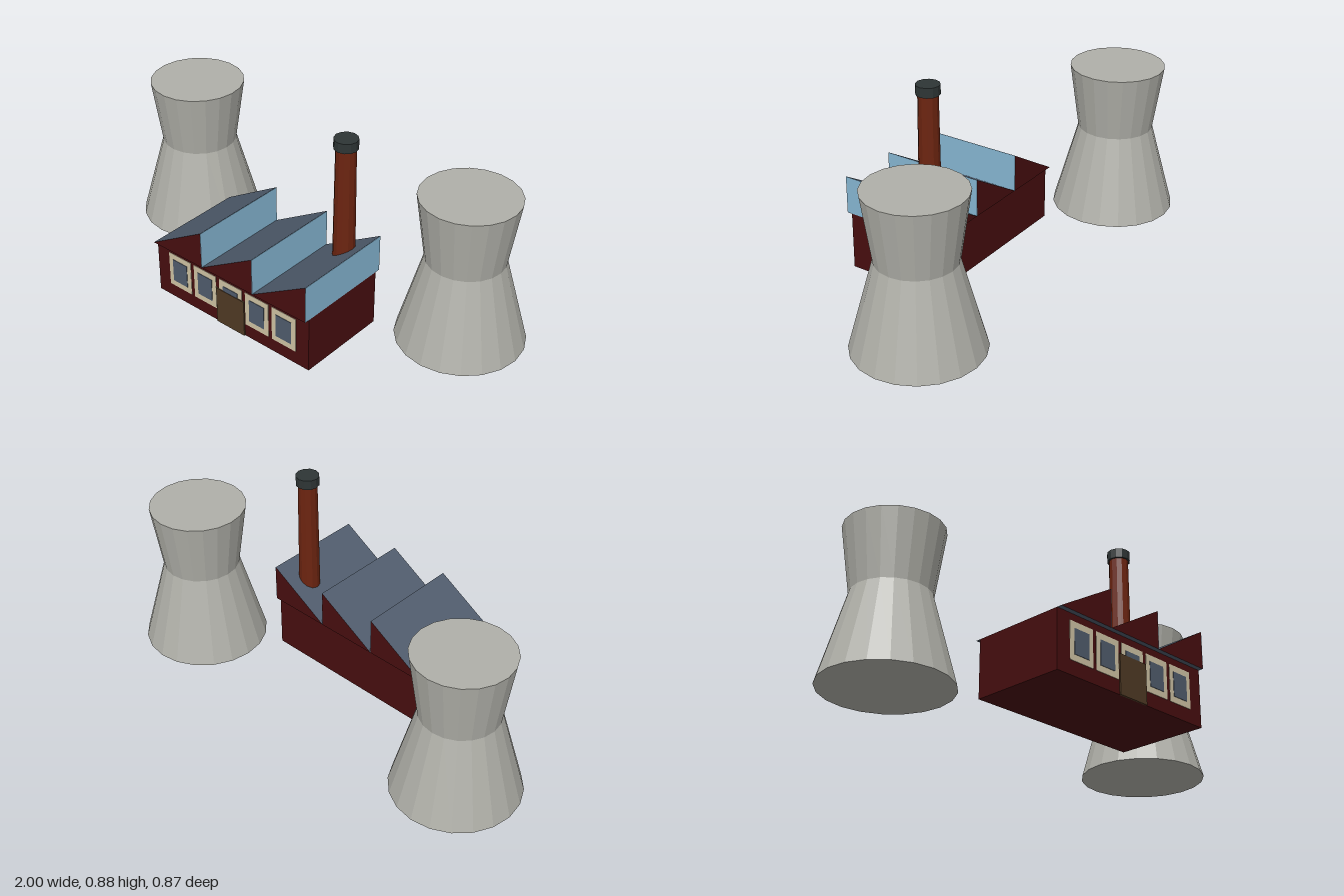
import * as THREE from 'three';

const material = (name, color) => {
  const m = new THREE.MeshStandardMaterial({ color, flatShading: true });
  m.name = name;
  return m;
};

export function createModel() {
  const concrete = material('concrete', 0xb0b0a9);
  const wall = material('dark red wall', 0x470e0f);
  const slate = material('slate', 0x505c6d);
  const glass = material('skylight glass', 0x86b6d2);
  const brick = material('chimney brick', 0x6c2410);
  const soot = material('chimney cap', 0x2e3535);
  const cream = material('window frame', 0xcfc3a4);
  const wood = material('door wood', 0x4f3a24);

  const model = new THREE.Group();
  model.name = 'factory';

  const add = (name, geometry, mat, x, y, z, parent = model) => {
    const mesh = new THREE.Mesh(geometry, mat);
    mesh.name = name;
    mesh.position.set(x, y, z);
    parent.add(mesh);
    return mesh;
  };
  const box = (name, w, h, d, mat, x, y, z, parent) =>
    add(name, new THREE.BoxGeometry(w, h, d), mat, x, y, z, parent);

  // Closed, waisted cooling towers
  const towerProfile = [[0, 0], [0.27, 0], [0.165, 0.38], [0.207, 0.667], [0, 0.667]]
    .map(([r, y]) => new THREE.Vector2(r, y));
  for (const [name, side] of [['leftCoolingTower', 1], ['rightCoolingTower', -1]]) {
    add(name, new THREE.LatheGeometry(towerProfile, 20), concrete, side * 0.73, 0, -0.167);
  }

  // Main hall
  box('hallWalls', 0.83, 0.25, 0.415, wall, 0, 0.125, 0.2075);

  // Sawtooth roof: red gable ends, slate slopes, upright skylights
  const toothWidth = 0.83 / 3, toothHeight = 0.166, roofDepth = 0.459;
  const tooth = new THREE.Shape();
  tooth.moveTo(0, 0);
  tooth.lineTo(toothWidth, 0);
  tooth.lineTo(toothWidth, toothHeight);
  tooth.closePath();
  const toothGeometry = new THREE.ExtrudeGeometry(tooth, { depth: roofDepth, bevelEnabled: false });
  for (let i = 0; i < 3; i++) {
    const x = -0.415 + i * toothWidth;
    add('roofTooth', toothGeometry, [wall, slate], x, 0.25, -0.022);
    box('skylight', 0.002, toothHeight - 0.002, roofDepth, glass,
      x + toothWidth, 0.25 + toothHeight / 2, -0.022 + roofDepth / 2);
  }

  // Front windows
  for (let i = -2; i <= 2; i++) {
    const window = new THREE.Group();
    window.name = 'window';
    window.position.set(i * 0.143, 0.14, 0.415);
    box('windowFrame', 0.125, 0.16, 0.004, cream, 0, 0, 0, window);
    box('windowPane', 0.08, 0.106, 0.004, slate, 0, 0, 0.002, window);
    model.add(window);
  }

  // Door overlaps the middle window
  box('door', 0.152, 0.17, 0.009, wood, 0, 0.085, 0.4165);

  // Chimney stack and cap
  add('chimneyStack', new THREE.CylinderGeometry(0.042, 0.05, 0.834, 12), brick, 0.315, 0.418, 0.083);
  add('chimneyCap', new THREE.CylinderGeometry(0.05, 0.05, 0.042, 12), soot, 0.315, 0.854, 0.083);

  return model;
}
